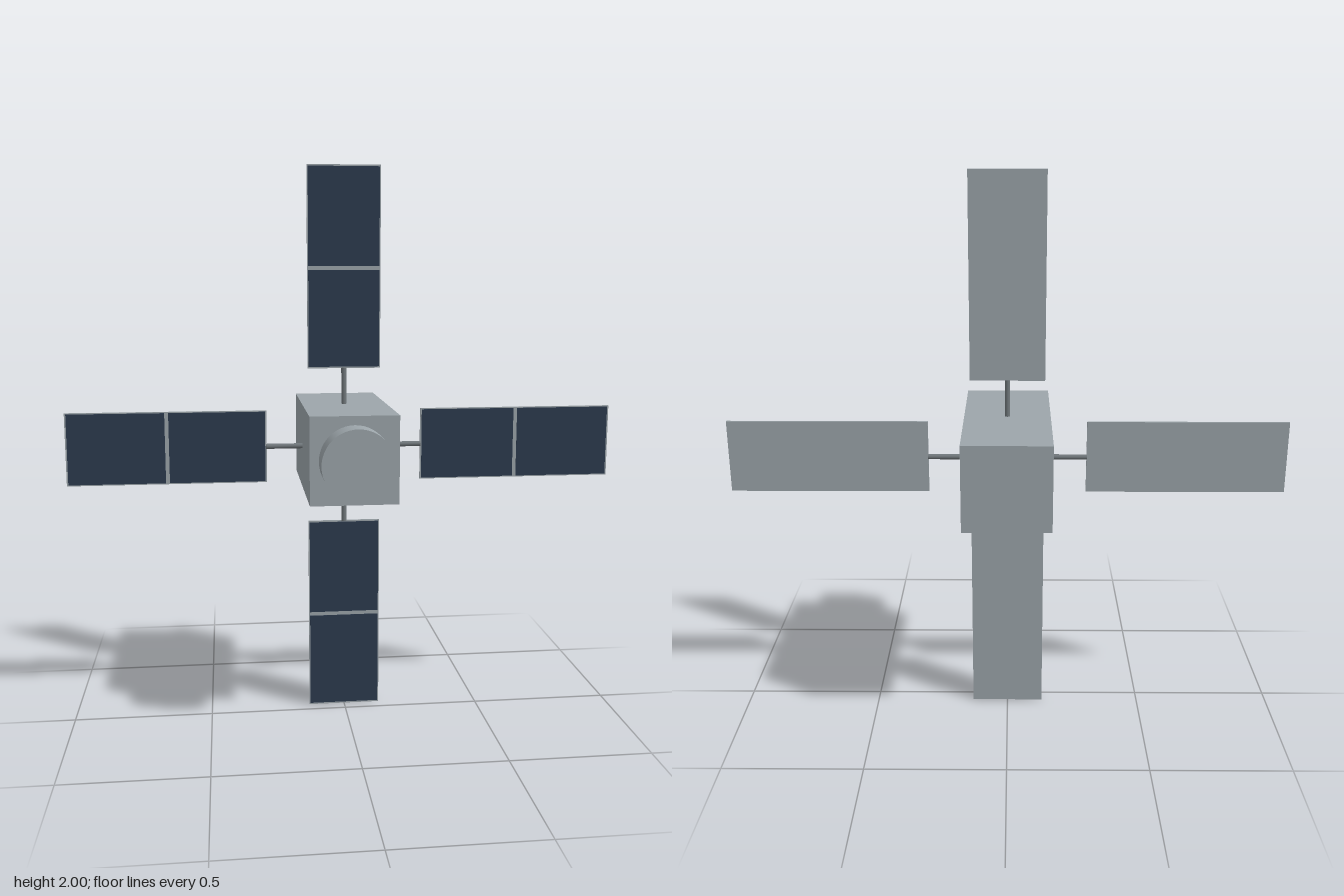
import * as THREE from 'three';

export function createModel() {
  const model = new THREE.Group();
  model.name = 'satellite';
  const silver = new THREE.MeshStandardMaterial({ color: 0x9ca5aa });
  silver.name = 'silver';
  const boomGrey = new THREE.MeshStandardMaterial({ color: 0x70777b });
  boomGrey.name = 'boom grey';
  const navy = new THREE.MeshStandardMaterial({ color: 0x2c3a4e });
  navy.name = 'solar cell navy';

  const add = (parent, name, geometry, material, x, y, z) => {
    const mesh = new THREE.Mesh(geometry, material);
    mesh.name = name;
    mesh.position.set(x, y, z);
    parent.add(mesh);
    return mesh;
  };

  // Main bus and the round instrument on its front
  add(model, 'body', new THREE.BoxGeometry(0.306, 0.306, 0.665), silver, 0, 1, -0.0475);
  add(model, 'instrument', new THREE.CylinderGeometry(0.122, 0.122, 0.1, 48).rotateX(Math.PI / 2),
    silver, 0, 1, 0.33);

  // One solar wing pointing along +x, repeated at quarter turns
  const inner = 0.283, outer = 1, width = 0.264, thick = 0.007;
  const middle = (inner + outer) / 2, length = outer - inner;
  const cellLength = 0.346, cellOffset = 0.18;
  const boomGeometry = new THREE.CylinderGeometry(0.0095, 0.0095, 0.145, 16).rotateZ(Math.PI / 2);
  const panelGeometry = new THREE.BoxGeometry(length, width, thick);
  const cellGeometry = new THREE.BoxGeometry(cellLength, width - 0.008, 0.002);

  ['leftWing', 'topWing', 'rightWing', 'bottomWing'].forEach((name, i) => {
    const wing = new THREE.Group();
    wing.name = name;
    wing.position.set(0, 1, -0.048);
    wing.rotation.z = i * Math.PI / 2;
    add(wing, 'boom', boomGeometry, boomGrey, 0.2125, 0, 0);
    add(wing, 'panelFrame', panelGeometry, silver, middle, 0, 0);
    for (const side of [-1, 1]) {
      add(wing, side < 0 ? 'innerCells' : 'outerCells', cellGeometry, navy,
        middle + side * cellOffset, 0, thick / 2 + 0.0005);
    }
    model.add(wing);
  });
  return model;
}
